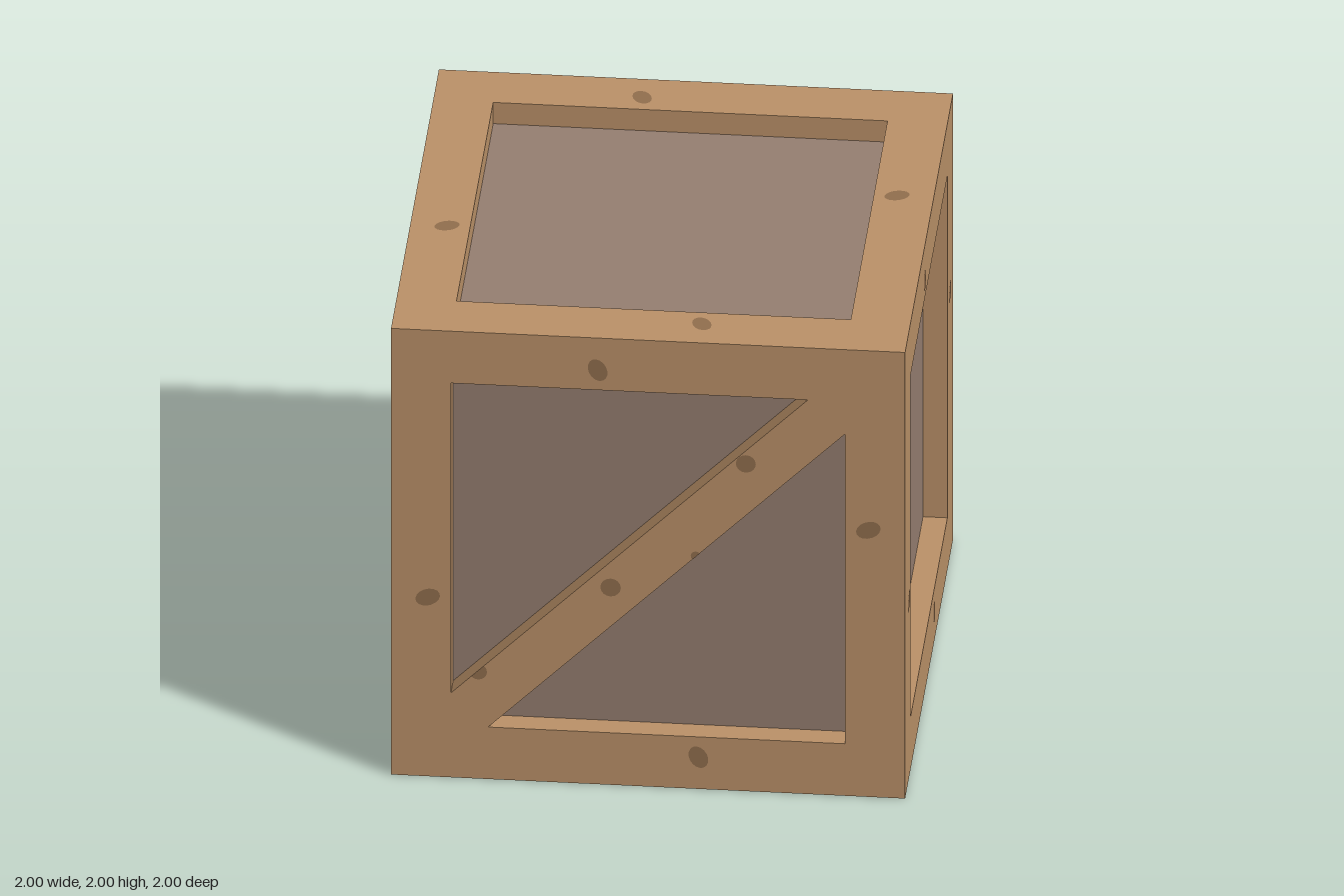
import * as THREE from 'three';

const H = 0.767;      // half width of the opening in each side
const D = 0.145;      // diagonal offset of the brace edges
const CORE = 0.905;   // half size of the recessed panel box
const HALF_BRACE = D / Math.SQRT2;

const wood = new THREE.MeshStandardMaterial({ name: 'wood', color: 0xbc9269 });
const panel = new THREE.MeshStandardMaterial({ name: 'panel', color: 0x967f71 });
const knot = new THREE.MeshStandardMaterial({ name: 'darkKnot', color: 0x926f4e });

function addMesh(parent, name, geometry, material) {
  const mesh = new THREE.Mesh(geometry, material);
  mesh.name = name;
  parent.add(mesh);
  return mesh;
}

// Walls from the outer face down to the panel, facing into one clockwise opening
function wallGeometry(points) {
  const pos = [];
  points.forEach((a, i) => {
    const b = points[(i + 1) % points.length];
    pos.push(a.x, a.y, 1, b.x, b.y, CORE, b.x, b.y, 1);
    pos.push(a.x, a.y, 1, a.x, a.y, CORE, b.x, b.y, CORE);
  });
  const g = new THREE.BufferGeometry();
  g.setAttribute('position', new THREE.Float32BufferAttribute(pos, 3));
  g.computeVertexNormals();
  return g;
}

// Flat oval outline, trimmed to |y| <= limit
function ovalGeometry(cx, cy, rx, ry, limit = Infinity) {
  const pts = [];
  for (let i = 0; i < 16; i++) {
    const a = (i / 16) * Math.PI * 2;
    const y = THREE.MathUtils.clamp(cy + ry * Math.sin(a), -limit, limit);
    pts.push(new THREE.Vector2(cx + rx * Math.cos(a), y));
  }
  return new THREE.ShapeGeometry(new THREE.Shape(pts));
}

// One side of the crate, facing +z
function makeSide(name, braced) {
  const side = new THREE.Group();
  side.name = name;
  const v = (x, y) => new THREE.Vector2(x, y);
  const openings = braced
    ? [[v(-H, D - H), v(-H, H), v(H - D, H)], [v(D - H, -H), v(H, H - D), v(H, -H)]]
    : [[v(-H, -H), v(-H, H), v(H, H), v(H, -H)]];

  // Frame boards, with the brace flush between them
  const outline = new THREE.Shape([v(-1, -1), v(1, -1), v(1, 1), v(-1, 1)]);
  outline.holes = openings.map((pts) => new THREE.Path(pts));
  addMesh(side, 'frameFace', new THREE.ShapeGeometry(outline), wood).position.z = 1;
  for (const pts of openings) addMesh(side, 'frameInnerEdge', wallGeometry(pts), wood);

  // One knot on each board
  for (let i = 0; i < 4; i++) {
    const g = ovalGeometry(0, 0, 0.036, 0.05);
    g.rotateZ(0.42).translate(-0.196, 0.857, 1.002).rotateZ((-i * Math.PI) / 2);
    addMesh(side, 'boardKnot', g, knot);
  }

  // Knots along the brace, cut off at its edges
  if (braced) {
    for (const [s, t, r] of [[0.6, 0.062, 0.039], [-0.184, 0.022, 0.04],
      [-0.835, 0.1, 0.035], [0.163, -0.1, 0.02]]) {
      const g = ovalGeometry(s, t, r, r, HALF_BRACE);
      g.rotateZ(Math.PI / 4).translate(0, 0, 1.002);
      addMesh(side, 'braceKnot', g, knot);
    }
  }
  return side;
}

export function createModel() {
  const crate = new THREE.Group();
  crate.name = 'crate';
  const Q = Math.PI / 2;

  // Recessed panels
  addMesh(crate, 'panels', new THREE.BoxGeometry(2 * CORE, 2 * CORE, 2 * CORE), panel);

  // Six sides; the back brace leans the other way when faced
  const sides = [
    ['frontSide', true, 0, 0, 0], ['backSide', true, 0, 2 * Q, Q],
    ['plusXSide', false, 0, Q, 0], ['minusXSide', false, 0, -Q, 0],
    ['topSide', false, -Q, 0, 0], ['bottomSide', false, Q, 0, 0],
  ];
  for (const [name, braced, rx, ry, rz] of sides) {
    const side = makeSide(name, braced);
    side.rotation.set(rx, ry, rz);
    crate.add(side);
  }

  // Stand the crate on the ground
  for (const part of crate.children) part.position.y += 1;
  return crate;
}
